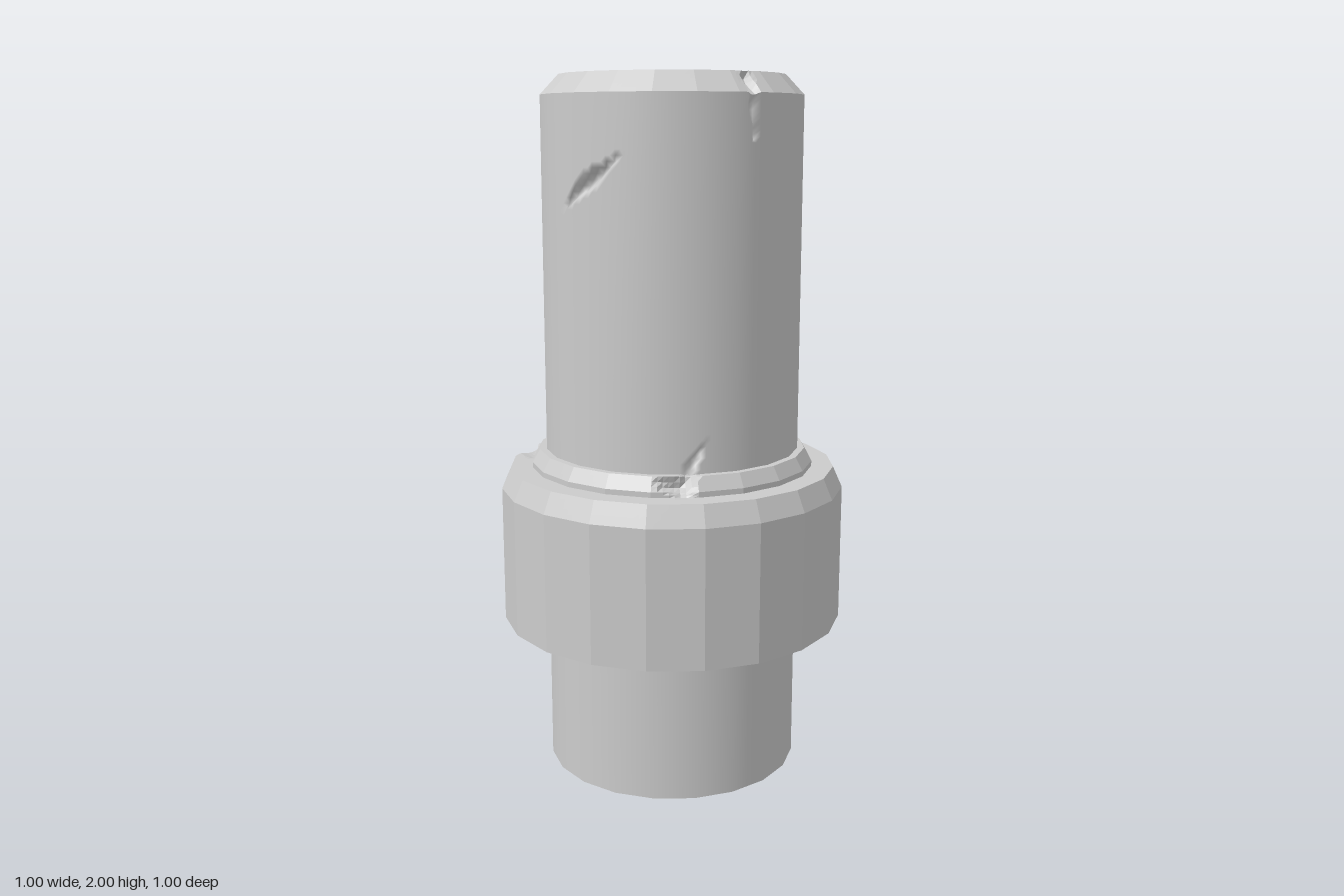
import * as THREE from 'three';

const SIDES = 20, PER_SIDE = 8, COLS = SIDES * PER_SIDE;

// Gouges: a path of [x, y, z, half width] and the push at its deepest line
const nicks = [
  { path: [[0.35, 1.93, -0.11, 0], [0.366, 1.55, -0.01, 0.028], [0.364, 1.33, 0.05, 0.042], [0.34, 1.17, 0.14, 0]], push: [-0.035, 0, 0] },
  { path: [[0.07, 2, 0.205, 0], [0.045, 1.98, 0.32, 0.022], [0.05, 1.92, 0.362, 0.02], [0.06, 1.8, 0.362, 0]], push: [0, -0.02, -0.035] },
  { path: [[-0.27, 1.8, 0.25, 0], [-0.33, 1.72, 0.16, 0.03], [-0.365, 1.63, 0.04, 0]], push: [0.03, 0, -0.015] },
  { path: [[-0.08, 1.06, 0.358, 0], [-0.11, 1, 0.35, 0.016], [-0.16, 0.92, 0.365, 0.035], [-0.25, 0.94, 0.32, 0]], push: [0.01, -0.01, -0.025] },
  { path: [[-0.155, 0.73, -0.475, 0], [-0.31, 0.85, -0.365, 0.07], [-0.36, 0.893, -0.2, 0]], push: [0.04, -0.02, 0.04] },
  { path: [[0, 2, -0.255, 0], [0.04, 2, -0.235, 0.016], [0.075, 2, -0.212, 0]], push: [0, -0.02, 0] },
].map(({ path, push }) => ({
  push: new THREE.Vector3(...push),
  segments: path.slice(1).map((b, i) => ({
    line: new THREE.Line3(new THREE.Vector3(...path[i]), new THREE.Vector3(...b)),
    w0: path[i][3], w1: b[3],
  })),
}));

// Moves a surface point into any gouge that covers it; true when moved
function carve(p) {
  const start = p.clone(), near = new THREE.Vector3();
  for (const { push, segments } of nicks) {
    let depth = 0;
    for (const { line, w0, w1 } of segments) {
      const t = line.closestPointToPointParameter(start, true);
      const w = THREE.MathUtils.lerp(w0, w1, t);
      if (w > 0) depth = Math.max(depth, 1 - line.at(t, near).distanceTo(start) / w);
    }
    p.addScaledVector(push, depth);
  }
  return p.distanceToSquared(start) > 1e-10;
}

// One twenty-sided band between two [radius, height] rings
function band(name, [r0, y0], [r1, y1], { smooth = false, step = 0.016 } = {}) {
  const rows = Math.max(2, Math.ceil(Math.hypot(r1 - r0, y1 - y0) / step));
  const positions = [], index = [], whole = [], p = new THREE.Vector3();
  const side = (2 * Math.PI) / SIDES;
  for (let j = 0; j <= rows; j++) {
    const r = THREE.MathUtils.lerp(r0, r1, j / rows);
    const y = THREE.MathUtils.lerp(y0, y1, j / rows);
    for (let i = 0; i <= COLS; i++) {
      const a = (i / COLS) * 2 * Math.PI;
      const within = ((i % PER_SIDE) / PER_SIDE - 0.5) * side;
      const d = r * Math.cos(side / 2) / Math.cos(within);
      p.set(d * Math.sin(a), y, d * Math.cos(a));
      whole.push(!carve(p));
      positions.push(p.x, p.y, p.z);
      if (i < COLS && j < rows) {
        const k = j * (COLS + 1) + i, up = k + COLS + 1;
        index.push(k, k + 1, up + 1, k, up + 1, up);
      }
    }
  }
  const geometry = new THREE.BufferGeometry();
  geometry.setAttribute('position', new THREE.Float32BufferAttribute(positions, 3));
  geometry.setIndex(index);
  geometry.computeVertexNormals();
  if (smooth) {
    // Round shading on the undamaged wall
    whole.forEach((ok, k) => {
      const a = ((k % (COLS + 1)) / COLS) * 2 * Math.PI;
      if (ok) geometry.attributes.normal.setXYZ(k, Math.sin(a), 0, Math.cos(a));
    });
  }
  const mesh = new THREE.Mesh(geometry, new THREE.MeshStandardMaterial({ color: 0xcccccc, flatShading: !smooth }));
  mesh.name = name;
  return mesh;
}

function part(name, ...meshes) {
  const group = new THREE.Group();
  group.name = name;
  group.add(...meshes);
  return group;
}

export function createModel() {
  return part('pillar',
    // Round shaft with a chamfered head
    part('shaft',
      band('shaftBottom', [0, 0], [0.368, 0], { step: 0.4 }),
      band('lowerShaft', [0.368, 0], [0.368, 0.88], { smooth: true, step: 0.5 }),
      band('upperShaft', [0.368, 0.88], [0.368, 1.945], { smooth: true }),
      band('headChamfer', [0.368, 1.945], [0.316, 2]),
      band('headTop', [0.316, 2], [0, 2])),
    // Wide faceted collar
    part('collar',
      band('collarUnderside', [0.36, 0.44], [0.5, 0.44], { step: 0.2 }),
      band('collarWall', [0.5, 0.44], [0.5, 0.835]),
      band('collarChamfer', [0.5, 0.835], [0.473, 0.895]),
      band('collarTop', [0.473, 0.895], [0.36, 0.895])),
    // Thin seating ring above the collar
    part('seatingRing',
      band('ringWall', [0.41, 0.893], [0.41, 0.91]),
      band('ringChamfer', [0.41, 0.91], [0.388, 0.948]),
      band('ringTop', [0.388, 0.948], [0.36, 0.948])));
}
